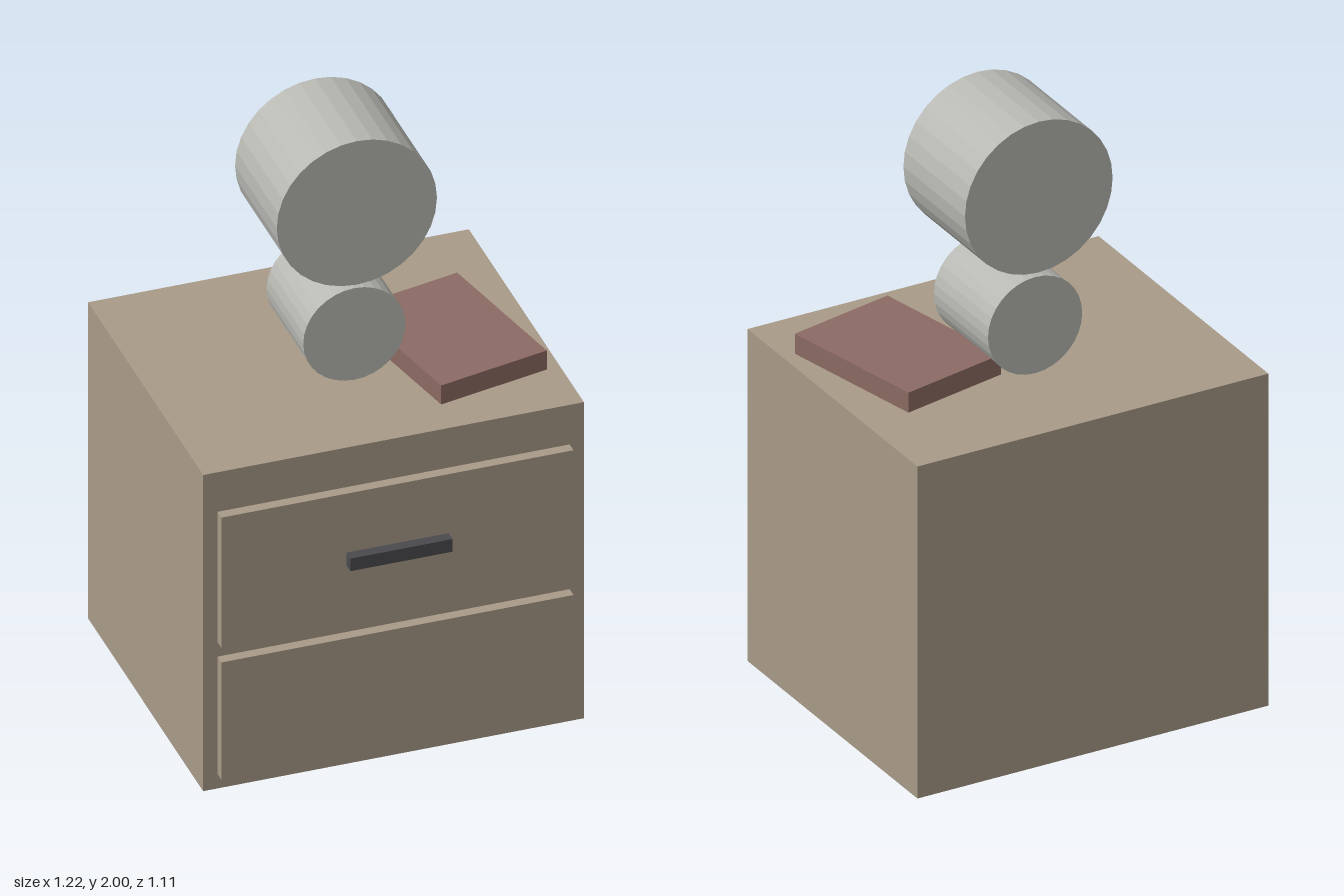
import * as THREE from 'three';

const material = (name, color, flatShading = false) => {
  const m = new THREE.MeshStandardMaterial({ color, flatShading });
  m.name = name;
  return m;
};

export function createModel() {
  const wood = material('wood', 0xa89a87);
  const darkMetal = material('dark metal', 0x4a4a4e);
  const paleGrey = material('pale grey', 0xb8b8b3, true);
  const bookRed = material('dull red', 0x8c6a63);

  const model = new THREE.Group();
  model.name = 'nightstand';

  const add = (name, geometry, mat, x, y, z) => {
    const mesh = new THREE.Mesh(geometry, mat);
    mesh.name = name;
    mesh.position.set(x, y, z);
    model.add(mesh);
    return mesh;
  };
  const box = (name, mat, w, h, d, x, y, z) =>
    add(name, new THREE.BoxGeometry(w, h, d), mat, x, y, z);

  // Cabinet body with two raised drawer fronts
  box('cabinet', wood, 1.222, 1.132, 1.034, 0, 0.566, -0.036);
  box('lowerDrawer', wood, 1.13, 0.42, 0.035, 0, 0.262, 0.4985);
  box('upperDrawer', wood, 1.13, 0.467, 0.035, 0, 0.757, 0.4985);
  box('drawerHandle', darkMetal, 0.328, 0.045, 0.036, 0, 0.757, 0.534);

  // Two drums lying front to back, one above the other
  const drum = (name, r, depth, y) => {
    const g = new THREE.CylinderGeometry(r, r, depth, 32).rotateX(Math.PI / 2);
    add(name, g, paleGrey, 0, y, -0.036);
  };
  drum('lowerDrum', 0.164, 0.33, 1.296);
  drum('upperDrum', 0.257, 0.375, 1.743);

  // Book turned slightly on the cabinet top
  box('book', bookRed, 0.375, 0.068, 0.516, 0.33, 1.166, 0.057).rotation.y = 0.209;

  return model;
}
